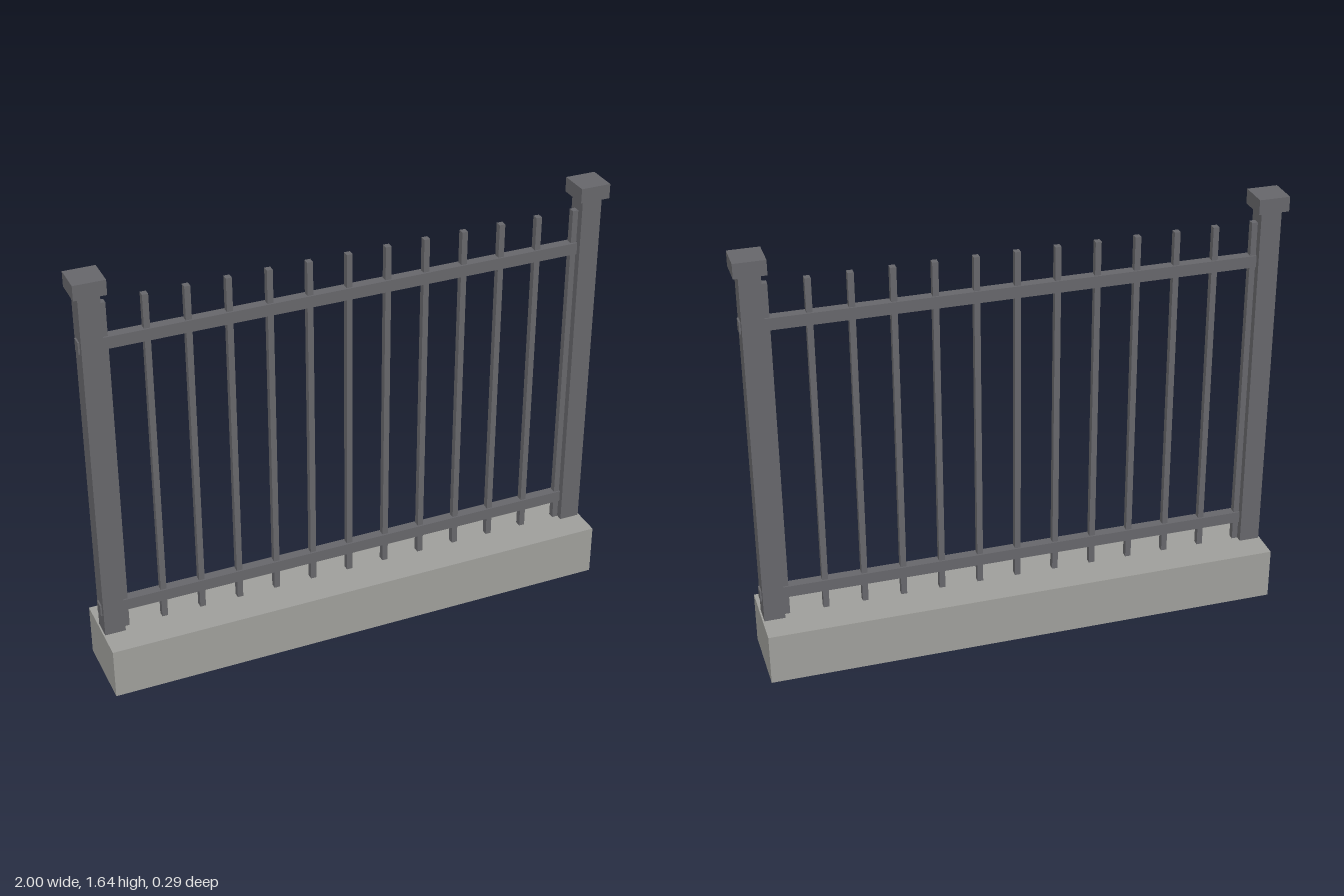
import * as THREE from 'three';

export function createModel() {
  const group = new THREE.Group();
  const metal = new THREE.MeshStandardMaterial({ color: 0x66666a });
  metal.name = 'dark grey metal';
  const concrete = new THREE.MeshStandardMaterial({ color: 0x9e9e9a });
  concrete.name = 'grey concrete';

  // Box standing between two heights
  function box(name, material, width, depth, bottom, top, x = 0) {
    const mesh = new THREE.Mesh(new THREE.BoxGeometry(width, top - bottom, depth), material);
    mesh.name = name;
    mesh.position.set(x, (bottom + top) / 2, 0);
    group.add(mesh);
  }

  // Plinth
  box('base', concrete, 1.974, 0.294, 0, 0.2);

  // End posts, set into the plinth, with square caps
  for (const [side, x] of [['left', 0.942], ['right', -0.942]]) {
    box(side + 'Post', metal, 0.078, 0.076, 0.002, 1.586, x);
    box(side + 'PostCap', metal, 0.116, 0.116, 1.586, 1.642, x);
  }

  // Rails running through both posts
  box('lowerRail', metal, 1.974, 0.038, 0.276, 0.321);
  box('upperRail', metal, 1.974, 0.038, 1.364, 1.409);

  // Evenly spaced pickets
  for (let i = -6; i <= 6; i++) {
    box('picket' + (i + 7), metal, 0.022, 0.025, 0.19, 1.537, i * 0.1485);
  }
  return group;
}
